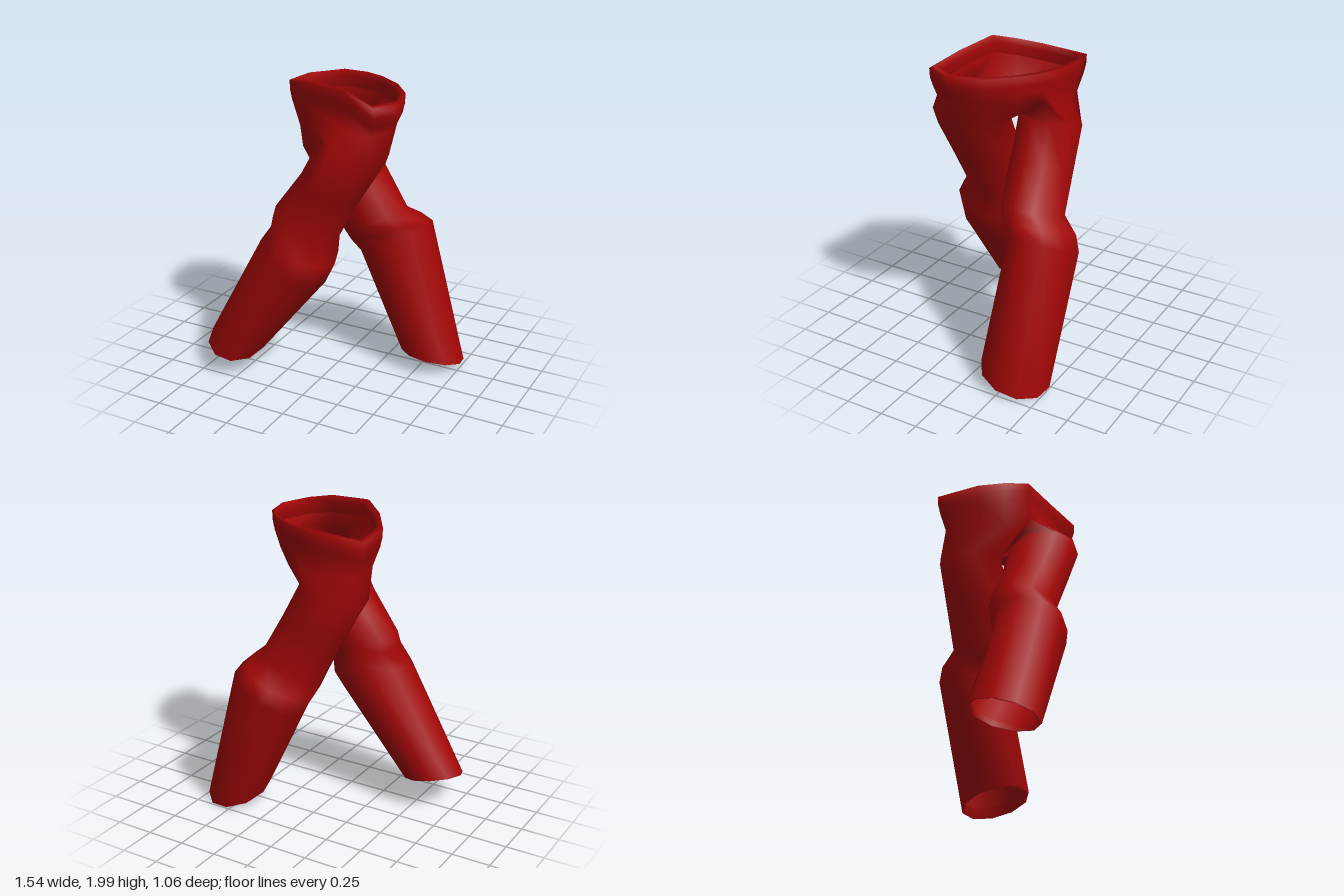
import * as THREE from 'three';

// Waist outline from front middle, round the wearer's one side, to the back and round again: x, y, z
const RIM = [
  [-0.10, 2.0, 0.275], [0.19, 1.985, 0.315], [0.42, 1.93, 0.385], [0.5, 1.925, 0.2],
  [0.44, 1.93, -0.01], [0.32, 1.935, -0.16], [0.18, 1.935, -0.26],
  [0.05, 1.935, -0.31], [-0.13, 1.93, -0.33], [-0.36, 1.895, -0.26],
  [-0.335, 1.92, 0.02], [-0.23, 1.96, 0.17],
];
// Saddle between the legs, front to back
const CROTCH = [[-0.04, 1.66, 0.18], [0.04, 1.63, 0.08], [0.11, 1.62, -0.07]];
// Leg cross-sections: centre x, y, z, sideways axis x, y, depth radius, front tilt
const FRONT_LEG = [
  [0.23, 1.63, 0.225, 0.19, -0.085, 0.245, 0.02],
  [0.06, 1.34, 0.225, 0.195, -0.06, 0.22, 0],
  [-0.11, 1.08, 0.22, 0.215, -0.07, 0.21, 0],
  [-0.105, 0.95, 0.265, 0.205, -0.11, 0.245, 0],
  [-0.17, 0.83, 0.295, 0.22, -0.11, 0.225, 0],
  [-0.59, 0.19, 0.315, 0.185, -0.04, 0.22, -0.05],
];
const BACK_LEG = [
  [-0.1, 1.52, -0.15, 0.21, 0.06, 0.205, 0],
  [0.03, 1.28, -0.165, 0.2, 0.07, 0.205, 0],
  [0.17, 1.02, -0.18, 0.205, 0.08, 0.205, 0],
  [0.215, 0.94, -0.25, 0.225, 0.1, 0.24, 0],
  [0.265, 0.86, -0.31, 0.235, 0.12, 0.225, 0],
  [0.56, 0.07, -0.28, 0.205, -0.02, 0.225, 0.06],
];

export function createModel() {
  const red = new THREE.MeshStandardMaterial({ color: 0xa30606, side: THREE.DoubleSide });
  red.name = 'deep red cloth';
  const positions = [];

  // Stores a loop of points and returns their indices
  const addLoop = (points) => points.map((p) => positions.push(...p) / 3 - 1);

  // Joins neighbouring loops, upper to lower
  const skin = (loops) => {
    const index = [];
    for (let i = 0; i + 1 < loops.length; i++) {
      const a = loops[i], b = loops[i + 1], n = a.length;
      for (let k = 0; k < n; k++) {
        const m = (k + 1) % n;
        index.push(a[k], b[k], b[m], a[k], b[m], a[m]);
      }
    }
    return index;
  };

  // Waist loop resized about its middle and lowered
  const waist = (scale, drop) =>
    addLoop(RIM.map(([x, y, z]) => [0.05 + (x - 0.05) * scale, y - drop, z * scale]));

  // Hip loop, pinched in and sitting lower on the back leg's side
  const hip = addLoop(RIM.map(([x, , z], i) => (i < 7
    ? [0.05 + (x - 0.05) * 0.88, 1.74, z * 0.95]
    : [0.05 + (x - 0.05) * 0.83, 1.66, z * 0.9])));
  const crotch = addLoop(CROTCH);

  const waistLoops = [
    waist(0.93, 0.11), waist(0.89, 0.04), waist(0.94, 0), waist(1, 0.01),
    waist(0.995, 0.07), waist(0.96, 0.13), hip,
  ];

  // One oval of ten points across a leg
  const legRing = ([cx, cy, cz, ux, uy, rz, wy], start, scale = 1) =>
    addLoop(Array.from({ length: 10 }, (_, k) => {
      const a = THREE.MathUtils.degToRad(start - 36 * k);
      const c = Math.cos(a) * scale, s = Math.sin(a) * scale;
      return [cx + ux * c, cy + uy * c + wy * s, cz + rz * s];
    }));

  // Leg from its half of the hip loop down to a turned-in hem
  const leg = (top, rings, start) => {
    const [calf, hem] = rings.slice(-2);
    const lining = hem.map((v, i) => THREE.MathUtils.lerp(v, calf[i], 0.07));
    return skin([top, ...rings.map((r) => legRing(r, start)),
      legRing(hem, start, 0.94), legRing(lining, start, 0.92)]);
  };

  const parts = {
    waistband: skin(waistLoops),
    frontLeg: leg([...hip.slice(0, 7), ...[...crotch].reverse()], FRONT_LEG, 140),
    backLeg: leg([...hip.slice(6), hip[0], ...crotch], BACK_LEG, -30),
  };

  // Shared normals keep the cloth smooth across the seams
  const whole = new THREE.BufferGeometry();
  whole.setAttribute('position', new THREE.Float32BufferAttribute(positions, 3));
  whole.setIndex(Object.values(parts).flat());
  whole.computeVertexNormals();

  const group = new THREE.Group();
  group.name = 'trousers';
  for (const [name, index] of Object.entries(parts)) {
    const geometry = new THREE.BufferGeometry();
    geometry.setAttribute('position', whole.getAttribute('position'));
    geometry.setAttribute('normal', whole.getAttribute('normal'));
    geometry.setIndex(index);
    const mesh = new THREE.Mesh(geometry, red);
    mesh.name = name;
    group.add(mesh);
  }
  return group;
}
